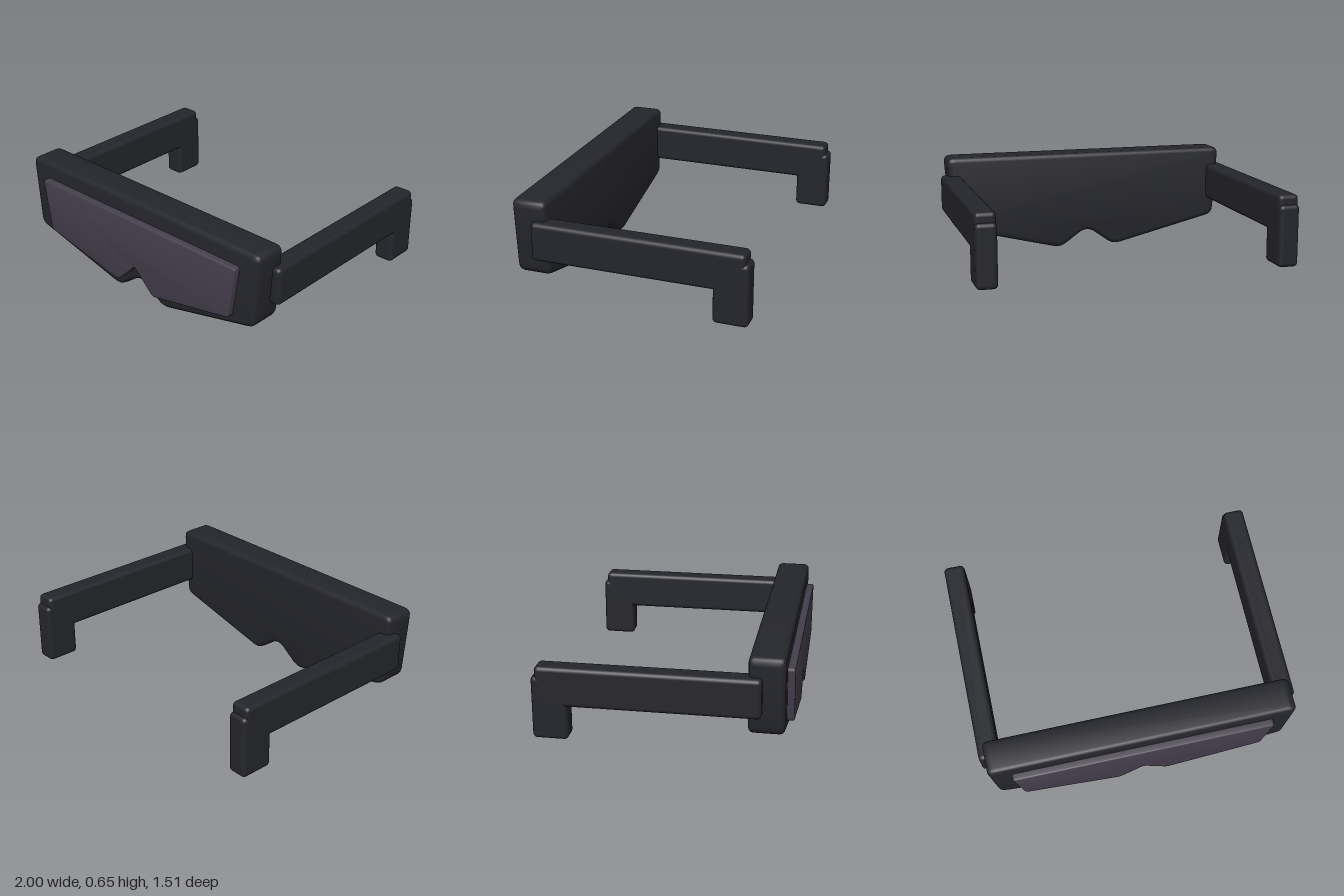
import * as THREE from 'three';
import { RoundedBoxGeometry } from 'three/addons/geometries/RoundedBoxGeometry.js';
import { toCreasedNormals } from 'three/addons/utils/BufferGeometryUtils.js';

const frameMaterial = new THREE.MeshStandardMaterial({ color: 0x25262c });
const lensMaterial = new THREE.MeshStandardMaterial({ color: 0x453f4d });

// Symmetric outline from right-half corners [x, y, rounding]; corners are rounded off.
function roundedOutline(half) {
  const mirrored = half.filter(([x]) => x > 0).map(([x, y, r]) => [-x, y, r]).reverse();
  const corners = [...half, ...mirrored];
  const points = corners.map(([x, y]) => new THREE.Vector2(x, y));
  const shape = new THREE.Shape();
  points.forEach((p, i) => {
    const prev = points[(i + points.length - 1) % points.length];
    const next = points[(i + 1) % points.length];
    const r = corners[i][2];
    const a = prev.clone().sub(p).setLength(r).add(p);
    const b = next.clone().sub(p).setLength(r).add(p);
    if (i === 0) shape.moveTo(a.x, a.y);
    else shape.lineTo(a.x, a.y);
    shape.quadraticCurveTo(p.x, p.y, b.x, b.y);
  });
  shape.closePath();
  return shape;
}

// Bevelled slab between two z values, keeping the outline as its outer edge.
function slab(name, half, back, front, bevel, material) {
  const geometry = new THREE.ExtrudeGeometry(roundedOutline(half), {
    depth: front - back - 2 * bevel,
    bevelSize: bevel,
    bevelThickness: bevel,
    bevelOffset: -bevel,
    bevelSegments: 3,
    curveSegments: 4,
  });
  geometry.translate(0, 0, back + bevel);
  const mesh = new THREE.Mesh(toCreasedNormals(geometry, 0.6), material);
  mesh.name = name;
  return mesh;
}

// Rounded box given by its limits on each axis.
function box(name, [x0, x1], [y0, y1], [z0, z1]) {
  const geometry = new RoundedBoxGeometry(x1 - x0, y1 - y0, z1 - z0, 3, 0.027);
  const mesh = new THREE.Mesh(geometry, frameMaterial);
  mesh.position.set((x0 + x1) / 2, (y0 + y1) / 2, (z0 + z1) / 2);
  mesh.name = name;
  return mesh;
}

export function createModel() {
  const glasses = new THREE.Group();
  glasses.name = 'glasses';

  // Front frame with the nose notch
  glasses.add(slab('frontFrame', [
    [0, 0.13, 0.07], [0.19, -0.008, 0.05], [0.927, 0.172, 0.05], [0.963, 0.65, 0.05],
  ], 0.5, 0.713, 0.03, frameMaterial));

  // Single lens standing proud of the frame
  glasses.add(slab('lens', [
    [0, 0.222, 0.02], [0.152, 0.071, 0.025], [0.768, 0.197, 0.02], [0.822, 0.543, 0.02],
  ], 0.66, 0.757, 0.012, lensMaterial));

  // Temple arms with hooked ear tips
  for (const [label, side] of [['left', 1], ['right', -1]]) {
    const xs = side > 0 ? [0.87, 1] : [-1, -0.87];
    const arm = new THREE.Group();
    arm.name = label + 'Arm';
    arm.add(box('temple', xs, [0.288, 0.53], [-0.735, 0.583]));
    arm.add(box('earTip', xs, [0.08, 0.47], [-0.757, -0.543]));
    glasses.add(arm);
  }
  return glasses;
}
